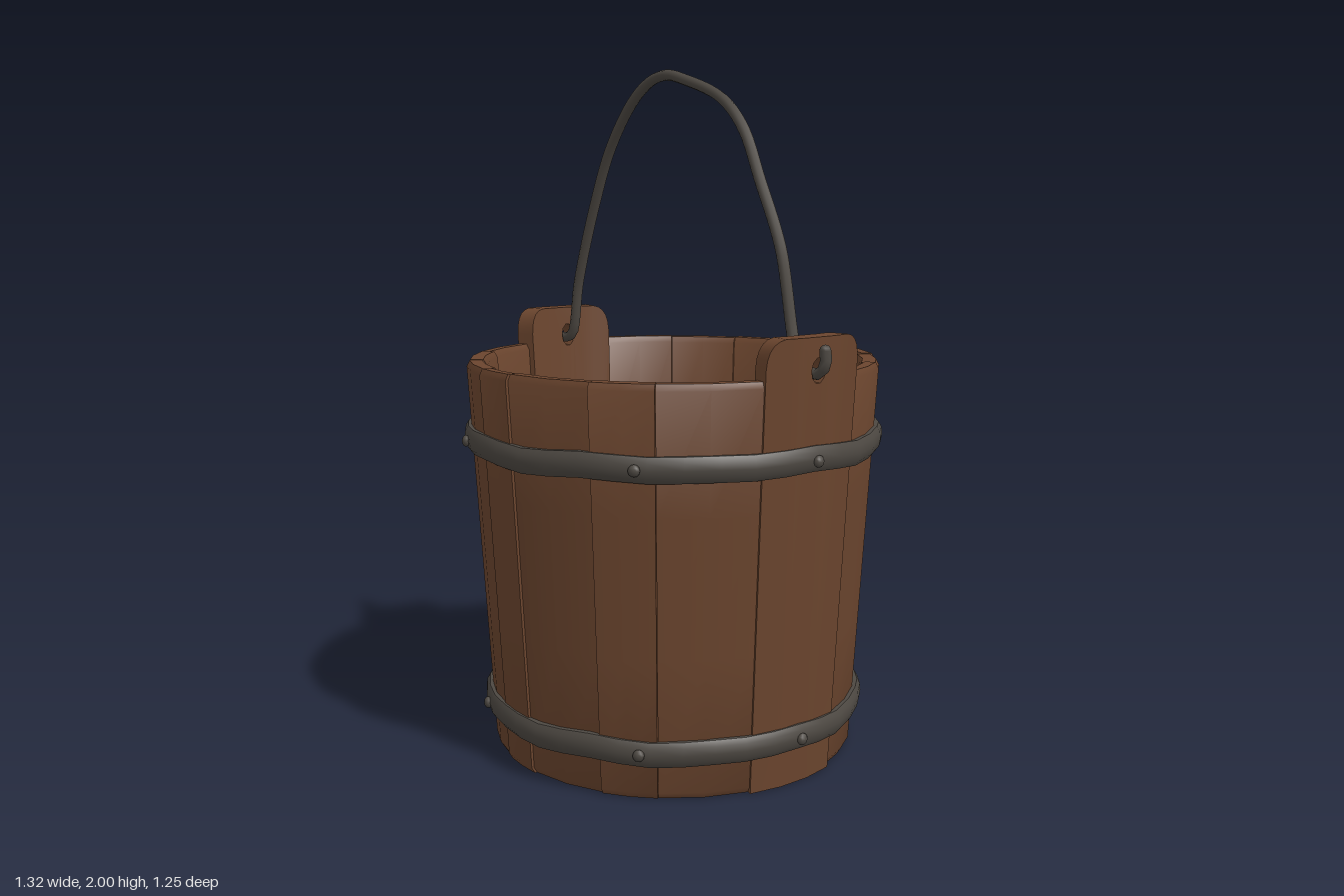
import * as THREE from 'three';
import { mergeGeometries, toCreasedNormals } from 'three/addons/utils/BufferGeometryUtils.js';

const DEG = Math.PI / 180;
const RIM = 1.16;
const THICK = 0.052;

// Outer radius of the tapered wall at a given height
const wallRadius = (y) => 0.545 + 0.07 * (y / RIM);

// Rewrites every vertex by a rule
function remap(geometry, rule) {
  const p = geometry.attributes.position;
  for (let i = 0; i < p.count; i++) {
    p.setXYZ(i, ...rule(p.getX(i), p.getY(i), p.getZ(i)));
  }
  return geometry;
}

const polar = (r, y, a) => [r * Math.cos(a), y, r * Math.sin(a)];

// One wall board between two angles, with softened top edges
function staveGeometry(a0, a1, offset, thick, top) {
  const rows = [0, 0.018, 0.4, 0.8, top - 0.018, top];
  const geo = new THREE.BoxGeometry(1, 5, 1, 2, 5, 1);
  remap(geo, (u, v, d) => {
    const row = Math.round(v + 2.5);
    const inset = row === 0 || row === 5 ? 0.01 : 0;
    const depth = d > 0 ? inset : thick - inset;
    const a = (a0 + a1) / 2 - u * (a1 - a0 - 0.003);
    return polar(wallRadius(rows[row]) + offset - depth, rows[row], a);
  });
  return toCreasedNormals(geo, 0.6);
}

// Tall board with rounded shoulders and a hole, bent from three flat strips
function earGeometry(mid) {
  const w = 0.165, inner = 0.055, top = 1.27;
  const side = (s) => {
    const shape = new THREE.Shape();
    shape.moveTo(s * inner, 0);
    shape.lineTo(s * w, 0);
    shape.lineTo(s * w, 1.19);
    shape.quadraticCurveTo(s * 0.162, 1.262, s * 0.11, top);
    shape.lineTo(s * inner, top);
    shape.closePath();
    return shape;
  };
  const centre = new THREE.Shape([
    new THREE.Vector2(-inner, 0), new THREE.Vector2(inner, 0),
    new THREE.Vector2(inner, top), new THREE.Vector2(-inner, top),
  ]);
  const hole = new THREE.Path();
  hole.absellipse(0, 1.18, 0.025, 0.036, 0, Math.PI * 2, true);
  centre.holes.push(hole);
  const strips = [side(-1), centre, side(1)].map((shape) =>
    new THREE.ExtrudeGeometry(shape, { depth: 0.064, bevelEnabled: false, curveSegments: 5 }));
  const geo = remap(mergeGeometries(strips), (s, y, d) =>
    polar(wallRadius(y) + 0.004 - 0.064 + d, y, mid - s / 0.6));
  return toCreasedNormals(geo, 0.6);
}

// Floor plank: a slice of a disc between two x values
function plankGeometry(x0, x1) {
  const r = 0.508, steps = 5, pts = [];
  for (const sign of [-1, 1]) {
    for (let i = 0; i <= steps; i++) {
      const t = sign < 0 ? i / steps : 1 - i / steps;
      const x = x0 + (x1 - x0) * t;
      pts.push(new THREE.Vector2(x, sign * Math.sqrt(Math.max(0, r * r - x * x))));
    }
  }
  const geo = new THREE.ExtrudeGeometry(new THREE.Shape(pts), { depth: 0.06, bevelEnabled: false });
  return geo.rotateX(-Math.PI / 2).translate(0, 0.04, 0);
}

// Rounded hoop with a slightly hammered, wavy outline
function hoopGeometry(y) {
  const h = 0.036, r = wallRadius(y);
  const profile = [[-0.012, -h], [0.008, -h], [0.019, -h * 0.6], [0.023, 0],
    [0.021, h * 0.6], [0.012, h], [-0.012, h]]
    .map(([dr, dy]) => new THREE.Vector2(r + dr, y + dy));
  const geo = remap(new THREE.LatheGeometry(profile, 40), (x, py, z) => {
    const a = Math.atan2(z, x);
    const wave = 0.003 * Math.sin(7 * a + y) + 0.003 * Math.sin(11 * a + 2);
    return [x, py + wave, z];
  });
  return toCreasedNormals(geo, 0.9);
}

export function createModel() {
  const wood = new THREE.MeshStandardMaterial({ color: 0x6b452e });
  wood.name = 'brown wood';
  const iron = new THREE.MeshStandardMaterial({ color: 0x4d4842 });
  iron.name = 'dark iron';

  const bucket = new THREE.Group();
  bucket.name = 'bucket';
  const add = (name, geometry, material, parent = bucket) => {
    const mesh = new THREE.Mesh(geometry, material);
    mesh.name = name;
    parent.add(mesh);
    return mesh;
  };
  const group = (name) => {
    const g = new THREE.Group();
    g.name = name;
    bucket.add(g);
    return g;
  };

  // Wall boards of uneven width, front then back
  const staves = group('staves');
  const edges = [
    [15.8, 43, 60, 86, 100, 120, 141, 164.2],
    [195.8, 218, 240, 269, 280, 302, 323, 344.2],
  ];
  let n = 0;
  for (const row of edges) {
    for (let i = 0; i < row.length - 1; i++, n++) {
      const offset = 0.004 * Math.sin(n * 2.4);
      const thick = THICK + 0.008 * Math.sin(n * 1.7);
      const top = RIM + 0.003 * Math.sin(n * 3.1);
      add('stave', staveGeometry(row[i] * DEG, row[i + 1] * DEG, offset, thick, top), wood, staves);
    }
  }
  add('leftEar', earGeometry(0), wood, staves);
  add('rightEar', earGeometry(Math.PI), wood, staves);

  // Floor planks
  const floor = group('floor');
  const cuts = [-0.508, -0.31, -0.1, 0.11, 0.31, 0.508];
  for (let i = 0; i < cuts.length - 1; i++) {
    add('floorPlank', plankGeometry(cuts[i] + 0.001, cuts[i + 1] - 0.001), wood, floor);
  }

  // Hoops with rivets driven through the wall
  for (const [name, y] of [['lowerHoop', 0.138], ['upperHoop', 0.935]]) {
    const hoop = group(name);
    add('band', hoopGeometry(y), iron, hoop);
    for (const angle of [0, 48, 112, 180, 228, 291]) {
      const rivet = new THREE.Group();
      rivet.name = 'rivet';
      rivet.rotation.y = -angle * DEG;
      hoop.add(rivet);
      const r = wallRadius(y);
      const shank = new THREE.CylinderGeometry(0.011, 0.011, 0.11, 8).rotateZ(Math.PI / 2);
      add('shank', shank, iron, rivet).position.set(r - 0.03, y, 0);
      const head = add('head', new THREE.SphereGeometry(0.017, 10, 6), iron, rivet);
      head.position.set(r + 0.025, y, 0);
      head.scale.x = 0.7;
    }
  }

  // Bent rod handle, hooked outwards through both ears
  const path = [
    [-0.643, 1.24], [-0.645, 1.2], [-0.625, 1.175], [-0.58, 1.17], [-0.532, 1.185],
    [-0.49, 1.36], [-0.4, 1.6], [-0.31, 1.78], [-0.19, 1.92], [-0.1, 1.973], [-0.03, 1.984],
    [0.05, 1.967], [0.22, 1.905], [0.31, 1.82], [0.38, 1.68], [0.465, 1.5],
    [0.545, 1.19], [0.59, 1.17], [0.625, 1.173], [0.645, 1.2], [0.643, 1.235],
  ].map(([x, y]) => new THREE.Vector3(x, y, 0));
  const curve = new THREE.CatmullRomCurve3(path, false, 'centripetal');
  const handle = group('handle');
  add('rod', new THREE.TubeGeometry(curve, 90, 0.016, 8), iron, handle);
  for (const end of [path[0], path[path.length - 1]]) {
    add('rodEnd', new THREE.SphereGeometry(0.016, 8, 6), iron, handle).position.copy(end);
  }

  return bucket;
}
